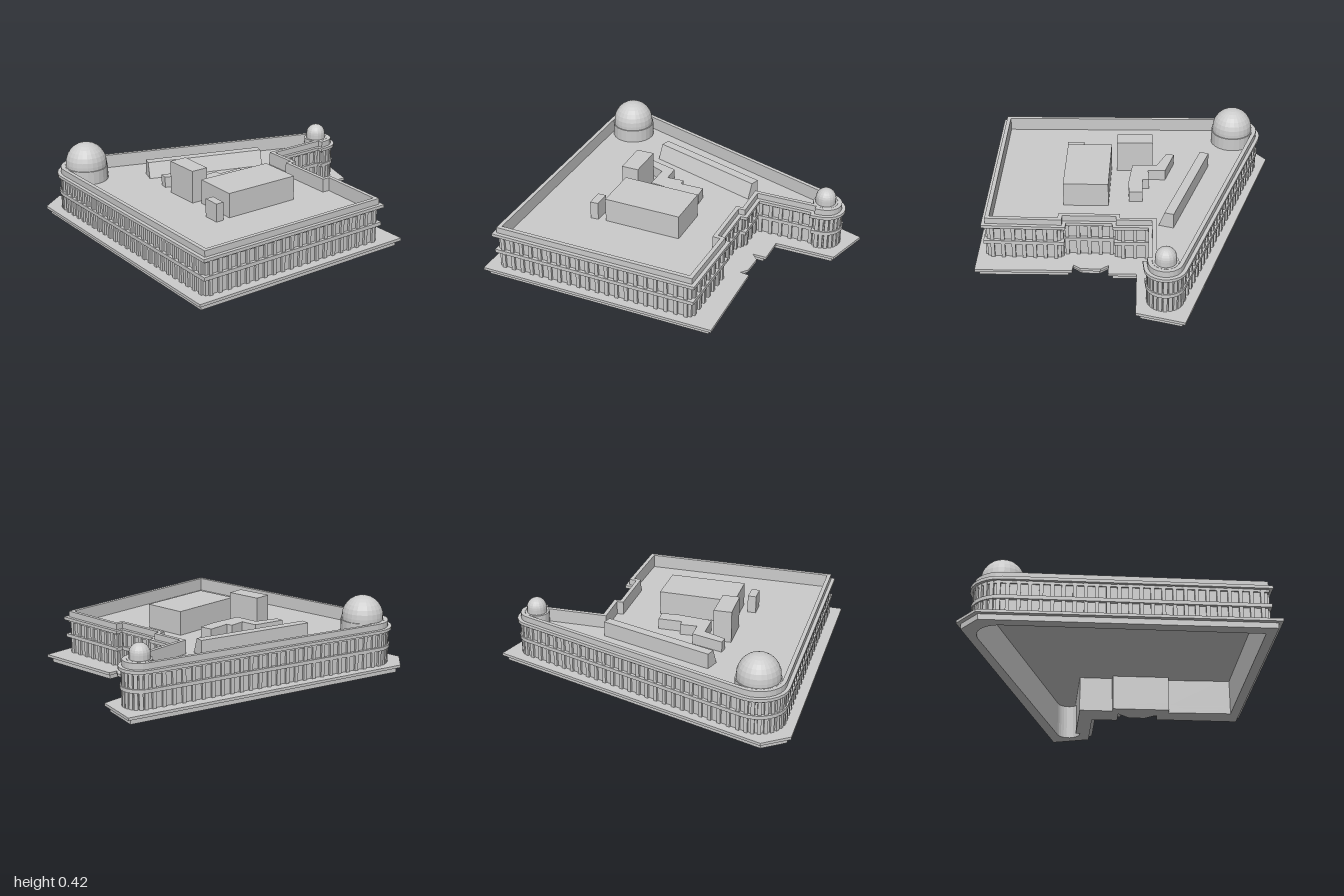
import * as THREE from 'three';

const mat = new THREE.MeshStandardMaterial({ color: 0xcccccc, flatShading: true, side: THREE.DoubleSide });
const ROOF = 0.21;

// Points are [x, z] in plan
const BIG = [-0.725, 0.35], SMALL = [0.085, -0.795];

function arc([cx, cz], r, a0, a1, n) {
  const pts = [];
  for (let i = 0; i <= n; i++) {
    const a = THREE.MathUtils.degToRad(a0 + (a1 - a0) * i / n);
    pts.push([cx + r * Math.cos(a), cz + r * Math.sin(a)]);
  }
  return pts;
}

// Moves every edge of a plan outline inwards by d
function inset(pts, d) {
  const n = pts.length;
  let area = 0;
  pts.forEach((p, i) => {
    const q = pts[(i + 1) % n];
    area += p[0] * q[1] - q[0] * p[1];
  });
  const s = Math.sign(area);
  const normal = (p, q) => {
    const dx = q[0] - p[0], dz = q[1] - p[1], l = Math.hypot(dx, dz);
    return [-dz / l * s, dx / l * s];
  };
  return pts.map((p, i) => {
    const a = normal(pts[(i + n - 1) % n], p), b = normal(p, pts[(i + 1) % n]);
    const k = d / (1 + a[0] * b[0] + a[1] * b[1]);
    return [p[0] + (a[0] + b[0]) * k, p[1] + (a[1] + b[1]) * k];
  });
}

// Upright prism from a plan outline, with an optional hole
function prism(name, pts, y0, y1, hole) {
  const toV = (p) => new THREE.Vector2(p[0], -p[1]);
  const shape = new THREE.Shape(pts.map(toV));
  if (hole) shape.holes.push(new THREE.Path(hole.map(toV)));
  const geo = new THREE.ExtrudeGeometry(shape, { depth: y1 - y0, bevelEnabled: false });
  geo.rotateX(-Math.PI / 2);
  geo.translate(0, y0, 0);
  const mesh = new THREE.Mesh(geo, mat);
  mesh.name = name;
  return mesh;
}

// Dome on a drum, as one lathe
function dome(name, [x, z], r, drumR, baseY, sides) {
  const prof = [[drumR, ROOF], [drumR, 0.285], [r, 0.285]];
  for (let i = 0; i <= 7; i++) {
    const a = i / 7 * Math.PI / 2;
    prof.push([r * Math.cos(a), baseY + r * Math.sin(a)]);
  }
  const geo = new THREE.LatheGeometry(prof.map((p) => new THREE.Vector2(Math.max(p[0], 0), p[1])), sides);
  const mesh = new THREE.Mesh(geo, mat);
  mesh.position.set(x, 0, z);
  mesh.name = name;
  return mesh;
}

// Rows of pilasters along a wall outline
function pilasters(pts, y0, y1) {
  const spots = [];
  pts.forEach((p, i) => {
    const q = pts[(i + 1) % pts.length];
    const dx = q[0] - p[0], dz = q[1] - p[1], len = Math.hypot(dx, dz);
    if (len < 0.02) return;
    const n = Math.max(1, Math.round(len / 0.056));
    for (let k = 0; k < n; k++) {
      const t = (k + 0.5) / n;
      spots.push([p[0] + dx * t, p[1] + dz * t, -Math.atan2(dz, dx)]);
    }
  });
  const group = new THREE.Group();
  group.name = 'pilasterRow';
  const geo = new THREE.BoxGeometry(0.02, y1 - y0, 0.024);
  for (const [x, z, a] of spots) {
    const m = new THREE.Mesh(geo, mat);
    m.position.set(x, (y0 + y1) / 2, z);
    m.rotation.y = a;
    m.name = 'pilaster';
    group.add(m);
  }
  return group;
}

export function createModel() {
  const g = new THREE.Group();
  g.name = 'building';

  const plinth = [[0.05, -1], [0.26, -0.85], [0.155, -0.54], [0.295, -0.49], [0.27, -0.42], [0.32, -0.44],
    [0.42, -0.4], [0.445, -0.36], [0.465, -0.405], [0.95, -0.24], [0.525, 0.995], [-0.905, 0.5], [-0.955, 0.34]];

  // Cornice outline: square corners, two rounded turrets and a stepped back
  const cornice = [[0.51, 0.94],
    ...arc(BIG, 0.163, 109, 216.7, 8),
    ...arc(SMALL, 0.11, 216.7, 378.7, 10),
    [0.178, -0.712], [0.15, -0.72], [0.058, -0.44], [0.235, -0.38], [0.225, -0.345],
    [0.455, -0.265], [0.47, -0.305], [0.885, -0.15]];
  const wall = inset(cornice, 0.026);
  const inner = inset(cornice, 0.042);

  // Base
  g.add(prism('lowerPlinth', inset(plinth, 0.022), 0, 0.03, inner));
  g.add(prism('upperPlinth', plinth, 0.03, 0.045, inner));

  // Walls with two storeys of windows between pilasters
  g.add(prism('wall', wall, 0.045, 0.235, inner));
  g.add(pilasters(wall, 0.045, 0.135));
  g.add(pilasters(wall, 0.15, 0.235));
  const bandOut = inset(cornice, 0.008);
  g.add(prism('storeyBand', bandOut, 0.133, 0.153, inner));
  g.add(prism('lintelBand', inset(cornice, 0.017), 0.222, 0.235, inner));
  g.add(prism('cornice', cornice, 0.235, 0.252, inner));
  g.add(prism('parapet', inset(cornice, 0.02), 0.252, 0.285, inner));

  // Roof, open beneath the large dome
  g.add(prism('roof', inset(cornice, 0.034), ROOF - 0.006, ROOF, arc(BIG, 0.118, 0, 345, 23)));

  // Domes
  g.add(dome('largeDome', BIG, 0.114, 0.12, 0.305, 24));
  g.add(dome('smallDome', SMALL, 0.055, 0.067, 0.312, 16));

  // Rooftop blocks
  g.add(prism('mainRoofBlock', [[0.175, -0.11], [0.405, -0.03], [0.265, 0.375], [0.03, 0.295]], ROOF, 0.345));
  g.add(prism('smallRoofBlock', [[0.17, 0.385], [0.257, 0.417], [0.245, 0.46], [0.155, 0.43]], ROOF, 0.31));
  g.add(prism('tallRoofBlock', [[-0.17, 0.165], [0.02, 0.23], [-0.01, 0.32], [-0.2, 0.26]], ROOF, 0.39));
  g.add(prism('steppedRoofBlock', [[-0.015, -0.125], [0.055, -0.105], [0.03, -0.01], [-0.05, 0.165],
    [-0.18, 0.12], [-0.27, 0.22], [-0.31, 0.2], [-0.205, 0.05], [-0.115, 0.08], [-0.09, -0.01], [-0.055, 0]],
  ROOF, 0.27));

  // Long skylight with one sloping side
  const sky = new THREE.BoxGeometry(0.082, 0.085, 0.67);
  const pos = sky.attributes.position;
  for (let i = 0; i < pos.count; i++) {
    if (pos.getX(i) > 0 && pos.getY(i) > 0) pos.setX(i, 0.01);
  }
  sky.computeVertexNormals();
  const skylight = new THREE.Mesh(sky, mat);
  skylight.name = 'longSkylight';
  skylight.position.set(-0.255, ROOF + 0.0425, -0.13);
  skylight.rotation.y = -0.64;
  g.add(skylight);

  return g;
}
